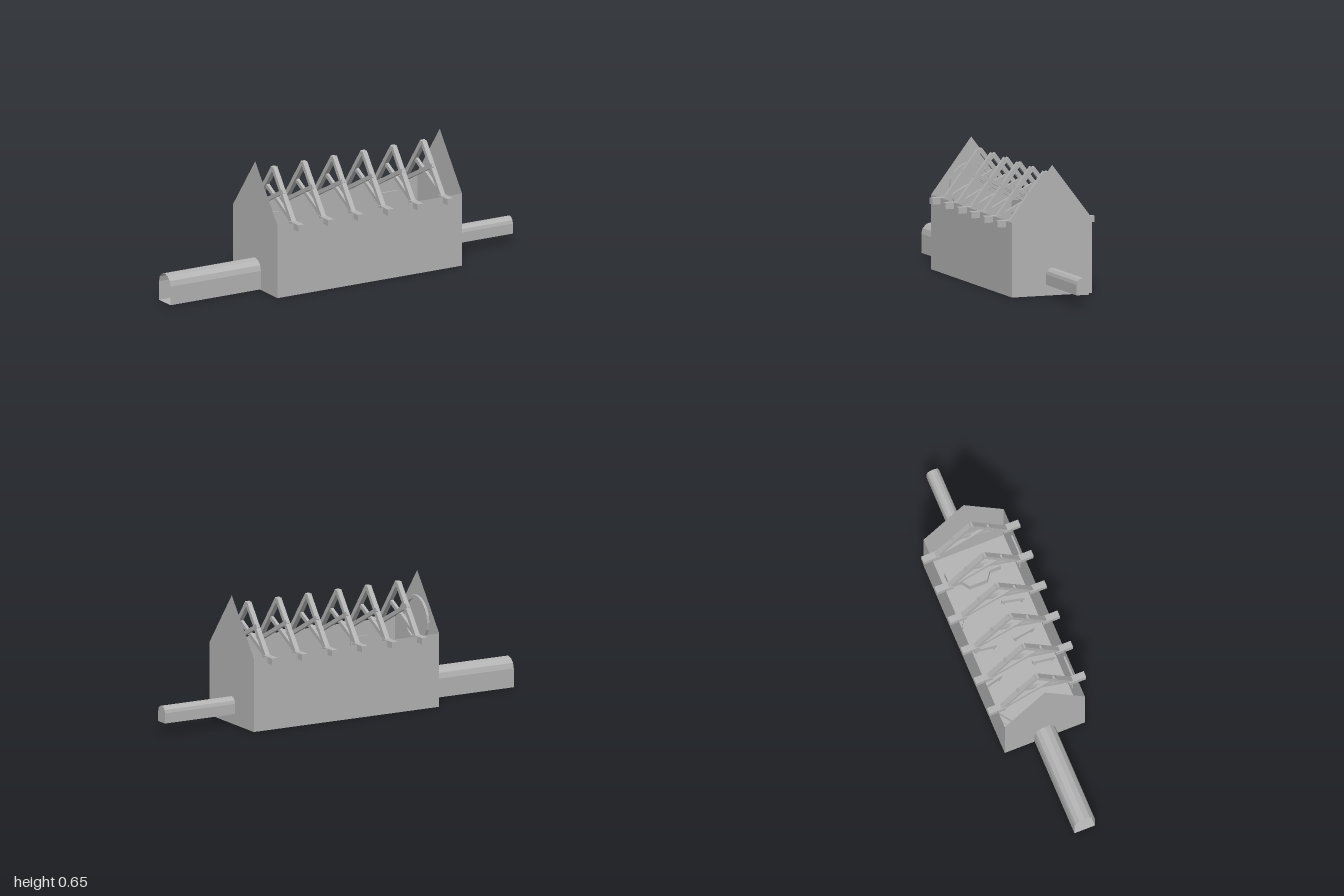
import * as THREE from 'three';

const X0 = -0.475, X1 = 0.595, W = 0.215, WALL = 0.375, APEX = 0.655;

export function createModel() {
  const group = new THREE.Group();
  const stone = new THREE.MeshStandardMaterial({ color: 0xb2b2b2, side: THREE.DoubleSide, flatShading: true });
  stone.name = 'plain grey';

  const add = (name, geometry, x = 0, y = 0, z = 0, parent = group) => {
    const mesh = new THREE.Mesh(geometry, stone);
    mesh.name = name;
    mesh.position.set(x, y, z);
    parent.add(mesh);
    return mesh;
  };
  const box = (name, sx, sy, sz, x, y, z, parent) =>
    add(name, new THREE.BoxGeometry(sx, sy, sz), x, y, z, parent);

  // Hall shell: open roof, thin walls, floor and pointed gables
  const length = X1 - X0, midX = (X0 + X1) / 2;
  add('floor', new THREE.PlaneGeometry(length, 2 * W).rotateX(-Math.PI / 2), midX, 0.001, 0);
  for (const s of [1, -1]) {
    const wall = new THREE.PlaneGeometry(length, WALL);
    if (s < 0) wall.rotateY(Math.PI);
    add('sideWall', wall, midX, WALL / 2, s * W);
  }
  const gable = new THREE.Shape([[-W, 0], [W, 0], [W, WALL], [0, APEX], [-W, WALL]]
    .map(([z, y]) => new THREE.Vector2(z, y)));
  for (const [x, turn] of [[X0, -1], [X1, 1]]) {
    add('gableWall', new THREE.ShapeGeometry(gable).rotateY(turn * Math.PI / 2), x);
  }

  // Arched passages at both ends, swept along x from an arch section
  const passage = (name, xa, xb, r, base, spring, rise, capped) => {
    const section = [[r, base]];
    for (let i = 0; i <= 6; i++) {
      const a = i * Math.PI / 6;
      section.push([r * Math.cos(a), spring + rise * Math.sin(a)]);
    }
    section.push([-r, base]);
    const pos = [], n = section.length;
    for (let i = 0; i < n; i++) {
      const [z0, y0] = section[i], [z1, y1] = section[(i + 1) % n];
      pos.push(xa, y0, z0, xb, y0, z0, xb, y1, z1, xa, y0, z0, xb, y1, z1, xa, y1, z1);
    }
    const geometry = new THREE.BufferGeometry();
    geometry.setAttribute('position', new THREE.Float32BufferAttribute(pos, 3));
    geometry.computeVertexNormals();
    add(name, geometry);
    if (capped) {
      const end = new THREE.Shape(section.map(([z, y]) => new THREE.Vector2(-z, y)));
      add(name + 'End', new THREE.ShapeGeometry(end).rotateY(Math.PI / 2), xb);
    }
  };
  passage('entrancePassage', -1, X0, 0.055, 0.004, 0.1, 0.055, false);
  passage('rearPassage', X1, 1, 0.033, 0.055, 0.107, 0.033, true);

  // Round window frame inside the entrance gable
  const ring = new THREE.Shape().absarc(0, 0, 0.12, 0, Math.PI * 2);
  ring.holes.push(new THREE.Path().absarc(0, 0, 0.1, 0, Math.PI * 2, true));
  const ringGeometry = new THREE.ExtrudeGeometry(ring, { depth: 0.014, bevelEnabled: false, curveSegments: 10 });
  add('roundWindowFrame', ringGeometry.rotateY(Math.PI / 2), X0, 0.41, 0);

  // Roof trusses: stub beams, rafters and crossed braces
  const beam = (name, [za, ya], [zb, yb], width, thick, parent, x = 0) => {
    const dz = zb - za, dy = yb - ya;
    const mesh = box(name, width, thick, Math.hypot(dz, dy), x, (ya + yb) / 2, (za + zb) / 2, parent);
    mesh.rotation.x = -Math.atan2(dy, dz);
  };
  for (let i = 0; i < 6; i++) {
    const truss = new THREE.Group();
    truss.name = 'roofTruss';
    truss.position.x = -0.365 + i * 0.173;
    group.add(truss);
    for (const s of [1, -1]) {
      box('stubBeam', 0.034, 0.032, 0.09, 0, 0.359, s * 0.215, truss);
      beam('rafter', [s * 0.185, 0.365], [0, 0.606], 0.025, 0.022, truss);
      beam('crossBrace', [s * 0.185, 0.36], [s * -0.1, 0.508], 0.016, 0.02, truss, s * 0.004);
    }
  }

  // Wall panels between the trusses
  for (const x of [-0.267, 0.423]) {
    for (const s of [1, -1]) box('wallPanel', 0.105, 0.2, 0.009, x, 0.2, s * 0.21);
  }

  // Raised platform with its seat
  const plan = new THREE.Shape([[0.5, -0.14], [0.5, 0.135], [0.432, 0.135], [0.432, 0.075], [0.39, 0.045],
    [0.39, -0.05], [0.432, -0.08], [0.432, -0.14]].map(([x, z]) => new THREE.Vector2(x, -z)));
  const platform = new THREE.ExtrudeGeometry(plan, { depth: 0.05, bevelEnabled: false });
  add('platform', platform.rotateX(-Math.PI / 2));
  box('platformSeat', 0.026, 0.04, 0.095, 0.463, 0.07, 0.003);

  // Scattered benches: x, z and direction along the floor
  const benches = [
    [-0.33, -0.15, 18, -13], [-0.11, -0.14, 5, 21], [0.07, -0.1, -3, 22], [0.235, -0.165, 20, 12],
    [-0.295, 0.08, 3, 22], [-0.095, 0.145, -3, 21], [0.07, 0.105, 3, 21], [0.255, 0.125, -5, 22],
  ];
  for (const [x, z, dx, dz] of benches) {
    const bench = new THREE.Group();
    bench.name = 'bench';
    bench.position.set(x, 0, z);
    bench.rotation.y = Math.atan2(dx, dz);
    group.add(bench);
    box('benchSeat', 0.03, 0.008, 0.115, 0, 0.03, 0, bench);
    box('benchBack', 0.006, 0.03, 0.115, -0.012, 0.045, 0, bench);
    for (const s of [1, -1]) box('benchLeg', 0.026, 0.028, 0.008, 0, 0.014, s * 0.045, bench);
  }
  return group;
}
